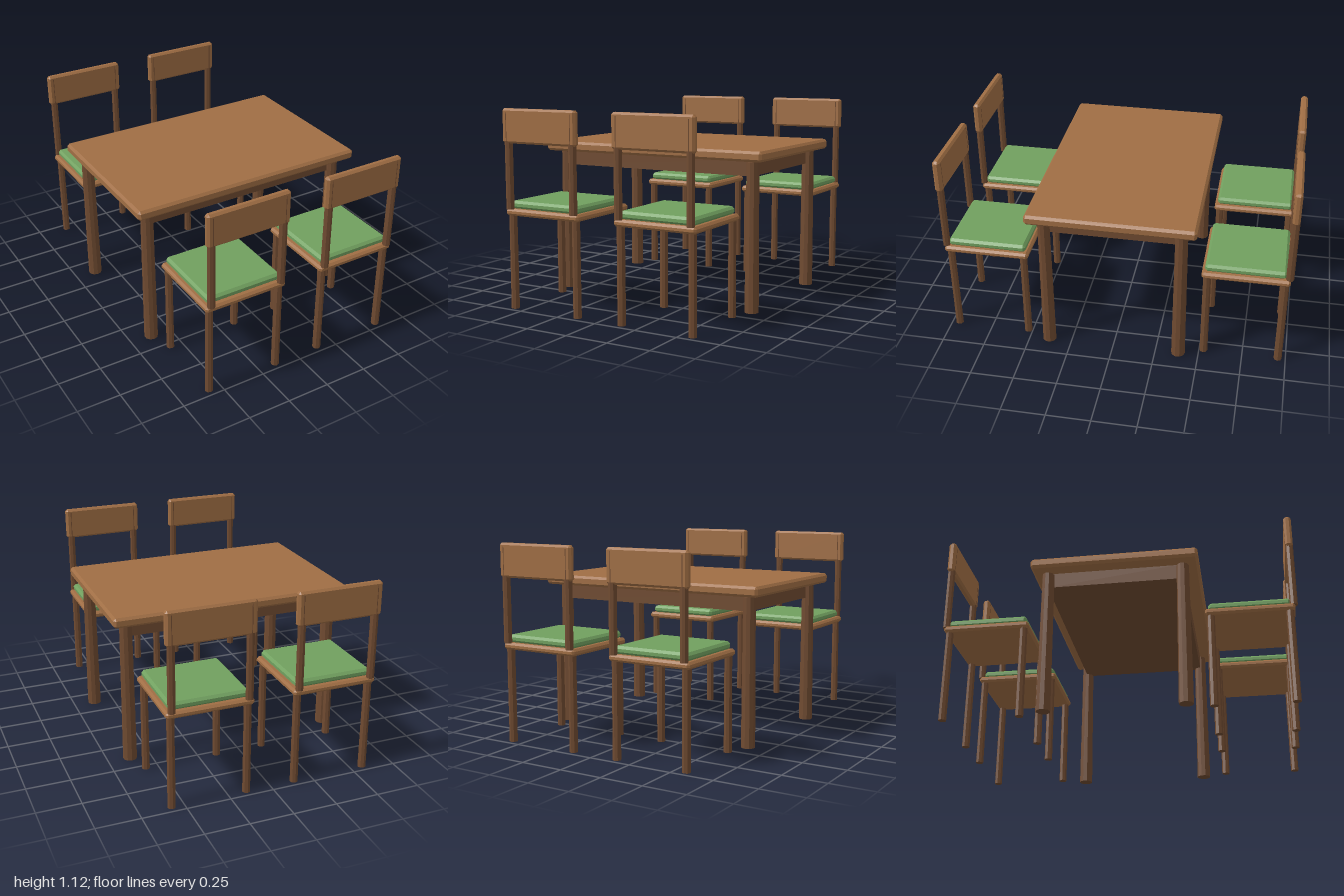
import * as THREE from 'three';
import { ConvexGeometry } from 'three/addons/geometries/ConvexGeometry.js';

const named = (name, color) => Object.assign(new THREE.MeshStandardMaterial({ color }), { name });

// Box with chamfered edges, as the hull of three inset boxes
function chamferBox(w, h, d, c) {
  const points = [];
  for (const sx of [-1, 1]) for (const sy of [-1, 1]) for (const sz of [-1, 1]) {
    const x = w / 2, y = h / 2, z = d / 2;
    points.push(new THREE.Vector3(sx * x, sy * (y - c), sz * (z - c)));
    points.push(new THREE.Vector3(sx * (x - c), sy * y, sz * (z - c)));
    points.push(new THREE.Vector3(sx * (x - c), sy * (y - c), sz * z));
  }
  return new ConvexGeometry(points);
}

// Faceted round post
function post(top, bottom, height, sides) {
  const g = new THREE.CylinderGeometry(top, bottom, height, sides).toNonIndexed();
  g.computeVertexNormals();
  return g;
}

function add(parent, name, geometry, material, x, y, z) {
  const mesh = new THREE.Mesh(geometry, material);
  mesh.name = name;
  mesh.position.set(x, y, z);
  parent.add(mesh);
}

export function createModel() {
  const wood = named('wood', 0xa06e44);
  const darkWood = named('darkWood', 0x704b31);
  const fabric = named('cushionFabric', 0x71a05f);
  const model = new THREE.Group();
  model.name = 'diningSet';

  // Table
  const table = new THREE.Group();
  table.name = 'table';
  model.add(table);
  add(table, 'tableTop', chamferBox(1.42, 0.058, 0.945, 0.014), wood, 0, 0.871, 0);
  add(table, 'apron', new THREE.BoxGeometry(1.24, 0.09, 0.77), darkWood, 0, 0.8, 0);
  const tableLeg = post(0.035, 0.04, 0.835, 10);
  for (const x of [-0.62, 0.62]) for (const z of [-0.383, 0.383]) {
    add(table, 'tableLeg', tableLeg, darkWood, x, 0.4175, z);
  }

  // Chairs, built with the back towards +z
  const seat = chamferBox(0.49, 0.038, 0.49, 0.012);
  const cushion = chamferBox(0.45, 0.045, 0.45, 0.014);
  const back = chamferBox(0.49, 0.19, 0.042, 0.012);
  const chairLeg = post(0.022, 0.023, 0.535, 8);
  const backPost = post(0.022, 0.022, 0.535, 8);
  for (const x of [-0.357, 0.357]) for (const turn of [0, Math.PI]) {
    const chair = new THREE.Group();
    chair.name = 'chair';
    chair.position.x = x;
    chair.rotation.y = turn;
    model.add(chair);
    add(chair, 'seat', seat, wood, 0, 0.548, 0.74);
    add(chair, 'cushion', cushion, fabric, 0, 0.587, 0.737);
    add(chair, 'backrest', back, wood, 0, 1.025, 0.978);
    for (const side of [-0.214, 0.214]) {
      add(chair, 'frontLeg', chairLeg, darkWood, side, 0.2675, 0.526);
      add(chair, 'rearLeg', chairLeg, darkWood, side, 0.2675, 0.956);
      add(chair, 'backPost', backPost, darkWood, side, 0.8325, 0.978);
    }
  }
  return model;
}
